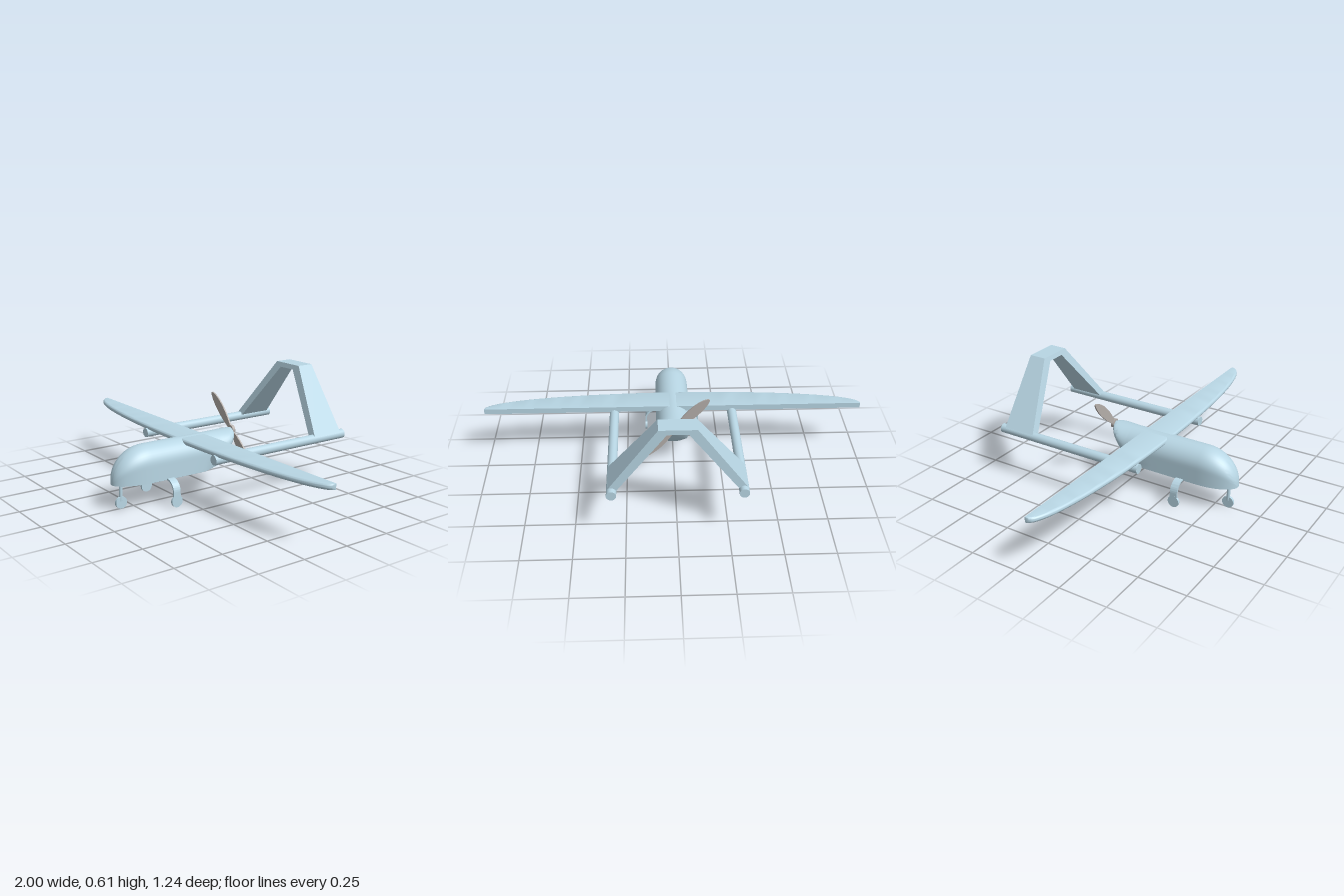
import * as THREE from 'three';
import { toCreasedNormals } from 'three/addons/utils/BufferGeometryUtils.js';

const blue = new THREE.MeshStandardMaterial({ color: 0xb8d6e4 });
const grey = new THREE.MeshStandardMaterial({ color: 0xb5afab });

function part(name, geometry, parent, material = blue) {
  const mesh = new THREE.Mesh(geometry, material);
  mesh.name = name;
  parent.add(mesh);
  return mesh;
}

// Skin closed rings of [x, y, z]; rings run counter-clockwise seen from the first one
function loft(rings, crease = 0.6) {
  const centre = (r) => r.map(() => [0, 1, 2].map((k) => r.reduce((s, p) => s + p[k], 0) / r.length));
  const all = [centre(rings[0]), ...rings, centre(rings[rings.length - 1])];
  const n = rings[0].length, index = [];
  for (let i = 0; i < all.length - 1; i++) {
    for (let j = 0; j < n; j++) {
      const k = (j + 1) % n, a = i * n + j, b = i * n + k, c = b + n, d = a + n;
      index.push(a, d, c, a, c, b);
    }
  }
  const g = new THREE.BufferGeometry();
  g.setAttribute('position', new THREE.Float32BufferAttribute(all.flat(2), 3));
  g.setIndex(index);
  return toCreasedNormals(g, crease);
}

// Flat belly, upright sides and round back; the belly turns round toward the rear
function fuselageRing(z) {
  const clamp = THREE.MathUtils.clamp;
  const nose = clamp((z - 0.43) / 0.19, 0, 1), noseW = clamp((z - 0.43) / 0.19, 0, 1);
  const tail = clamp((0.015 - z) / 0.12, 0, 1);
  const w = 0.09 * Math.sqrt(1 - noseW ** 2) * Math.sqrt(1 - tail ** 3);
  const top = 0.13 + 0.18 * Math.sqrt(1 - nose ** 2);
  const bottom = 0.13 + 0.16 * tail ** 1.5;
  const mid = (top + bottom) / 2, round = clamp((0.12 - z) / 0.16, 0, 1);
  const ring = [];
  for (let i = 0; i < 40; i++) {
    const a = (i / 40) * Math.PI * 2, c = Math.cos(a), s = Math.sin(a);
    const f = s >= 0 ? 1 : THREE.MathUtils.lerp(1 / Math.max(Math.abs(c), Math.abs(s)), 1, round);
    ring.push([w * c * f, mid + ((top - bottom) / 2) * s * f, z]);
  }
  return ring;
}

function fuselage() {
  const zs = [];
  for (let i = 0; i <= 16; i++) zs.push(0.43 + 0.19 * Math.cos((i / 16) * Math.PI / 2));
  for (let i = 1; i <= 8; i++) zs.push(0.43 - i * 0.0519);
  for (let i = 1; i <= 16; i++) zs.push(0.015 - 0.12 * Math.sin((i / 16) * Math.PI / 2));
  return loft(zs.map(fuselageRing));
}

// Straight trailing edge, elliptical rounded leading edge
function wing() {
  const rings = [], n = 48, r = 0.0145, y = 0.2935, back = 0.08;
  for (let i = 0; i <= n; i++) {
    const x = Math.cos((i / n) * Math.PI);
    const front = back + r + 0.135 * Math.sqrt(Math.max(0, 1 - x * x));
    const ring = [[x, y - r, back], [x, y + r, back]];
    for (let j = 0; j <= 10; j++) {
      const a = (j / 10) * Math.PI;
      ring.push([x, y + r * Math.cos(a), front - r + r * Math.sin(a)]);
    }
    rings.push(ring);
  }
  return loft(rings);
}

// Arch joining the booms, with a raked front edge
function tailArch() {
  const half = [[0.335, 0.276], [0.09, 0.61]], inner = [[0.05, 0.585], [0.287, 0.276]];
  const flip = ([x, y]) => [-x, y];
  const outline = [...half, ...[...half].reverse().map(flip),
    ...[...inner].reverse().map(flip), ...inner];
  const shape = new THREE.Shape(outline.map(([x, y]) => new THREE.Vector2(x, y)));
  const g = new THREE.ExtrudeGeometry(shape, { depth: 1, bevelEnabled: false });
  const p = g.attributes.position;
  for (let i = 0; i < p.count; i++) {
    const front = -0.405 - 0.09 * (p.getY(i) - 0.276) / 0.334;
    p.setZ(i, p.getZ(i) > 0.5 ? front : -0.587);
  }
  g.computeVertexNormals();
  return g;
}

function disc(radius, depth, axis) {
  const g = new THREE.CylinderGeometry(radius, radius, depth, 32);
  return axis === 'x' ? g.rotateZ(Math.PI / 2) : g.rotateX(Math.PI / 2);
}

// Curved strip leg, leaving the belly sideways and bending down
function mainLeg() {
  const s = new THREE.Shape();
  s.moveTo(0.07, 0.137);
  s.lineTo(0.09, 0.137);
  s.absellipse(0.09, 0.077, 0.06, 0.06, Math.PI / 2, 0, true);
  s.lineTo(0.15, 0.03);
  s.lineTo(0.141, 0.03);
  s.lineTo(0.141, 0.077);
  s.absellipse(0.09, 0.077, 0.051, 0.051, 0, Math.PI / 2, false);
  s.lineTo(0.07, 0.128);
  const g = new THREE.ExtrudeGeometry(s, { depth: 0.04, bevelEnabled: false, curveSegments: 16 });
  return toCreasedNormals(g.translate(0, 0, 0.315), 0.6);
}

function blade() {
  const s = new THREE.Shape();
  s.moveTo(0.01, -0.008);
  s.bezierCurveTo(0.08, -0.03, 0.19, -0.04, 0.243, -0.004);
  s.quadraticCurveTo(0.247, 0.002, 0.24, 0.008);
  s.bezierCurveTo(0.19, 0.032, 0.08, 0.028, 0.01, 0.008);
  return new THREE.ExtrudeGeometry(s, { depth: 0.008, bevelEnabled: false, curveSegments: 16 })
    .translate(0, 0, -0.004);
}

export function createModel() {
  const model = new THREE.Group();
  model.name = 'aircraft';
  part('fuselage', fuselage(), model);
  part('wing', wing(), model);
  part('tailArch', tailArch(), model);

  // Booms and main gear, one per side
  for (const [side, sx] of [['left', 1], ['right', -1]]) {
    part(side + 'Boom', disc(0.0245, 0.848, 'z'), model).position.set(sx * 0.313, 0.265, -0.192);
    const gear = new THREE.Group();
    gear.name = side + 'MainGear';
    const leg = part('leg', mainLeg(), gear);
    if (sx < 0) {
      leg.rotation.y = Math.PI;
      leg.position.z = 0.67;
    }
    part('wheel', disc(0.031, 0.011, 'x'), gear).position.set(sx * 0.1455, 0.031, 0.335);
    model.add(gear);
  }

  // Nose gear
  const noseGear = new THREE.Group();
  noseGear.name = 'noseGear';
  part('strut', new THREE.CylinderGeometry(0.009, 0.009, 0.1, 20), noseGear).position.set(0, 0.09, 0.57);
  part('wheel', disc(0.031, 0.013, 'x'), noseGear).position.set(0, 0.031, 0.57);
  model.add(noseGear);

  // Pusher propeller
  const propeller = new THREE.Group();
  propeller.name = 'propeller';
  propeller.position.set(-0.003, 0.296, -0.113);
  part('hub', disc(0.025, 0.016, 'z'), propeller, grey);
  for (const angle of [0.75, -0.25]) part('blade', blade(), propeller, grey).rotation.z = angle * Math.PI;
  model.add(propeller);
  return model;
}
